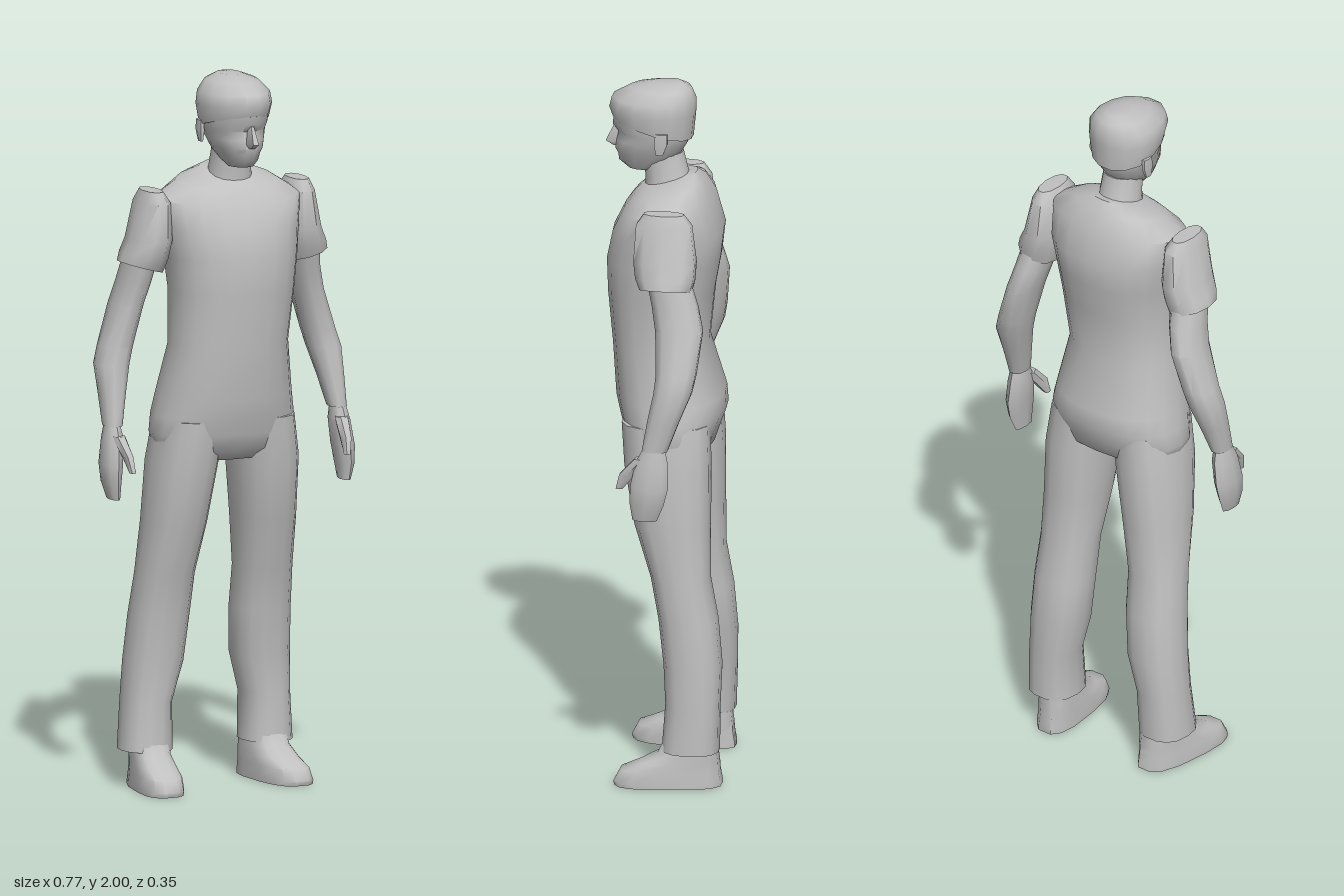
import * as THREE from 'three';
import { toCreasedNormals } from 'three/addons/utils/BufferGeometryUtils.js';

const grey = new THREE.MeshStandardMaterial({ color: 0xc0c0c0 });
grey.name = 'plain grey';

// Stacks rounded cross-sections. Each ring: [y, xMin, xMax, zMin, zMax, tiltX, tiltZ]
// n is the number of sides, power > 2 gives boxier sections, widest is the z share of the widest point,
// warp moves each finished point by a rule.
function loft(name, rings, { n = 14, power = 2.2, widest = 0.5, mirror = false, warp = null, crease = 0.9 } = {}) {
  const rows = rings.map(([y, x0, x1, z0, z1, tx = 0, tz = 0]) =>
    mirror ? [y, -x1, -x0, z0, z1, -tx, tz] : [y, x0, x1, z0, z1, tx, tz]).sort((a, b) => a[0] - b[0]);
  const pos = [], index = [];
  const push = (x, y, z) => {
    const p = new THREE.Vector3(x, y, z);
    if (warp) warp(p);
    pos.push(p.x, p.y, p.z);
  };
  const round = v => Math.sign(v) * Math.pow(Math.abs(v), 2 / power);
  for (const [y, x0, x1, z0, z1, tx, tz] of rows) {
    const cx = (x0 + x1) / 2, cz = z0 + (z1 - z0) * widest;
    for (let j = 0; j < n; j++) {
      const a = j / n * Math.PI * 2, s = round(Math.sin(a));
      const dx = round(Math.cos(a)) * (x1 - x0) / 2;
      const dz = s * (s > 0 ? z1 - cz : cz - z0);
      push(cx + dx, y + tx * dx + tz * dz, cz + dz);
    }
  }
  for (let i = 0; i < rows.length - 1; i++) {
    for (let j = 0; j < n; j++) {
      const a = i * n + j, b = i * n + (j + 1) % n;
      index.push(a, a + n, b, b, a + n, b + n);
    }
  }
  // End caps
  for (const end of [0, rows.length - 1]) {
    const [y, x0, x1, z0, z1] = rows[end];
    const c = pos.length / 3;
    push((x0 + x1) / 2, y, z0 + (z1 - z0) * widest);
    for (let j = 0; j < n; j++) {
      const a = end * n + j, b = end * n + (j + 1) % n;
      if (end === 0) index.push(c, a, b); else index.push(c, b, a);
    }
  }
  const geo = new THREE.BufferGeometry();
  geo.setAttribute('position', new THREE.Float32BufferAttribute(pos, 3));
  geo.setIndex(index);
  const mesh = new THREE.Mesh(toCreasedNormals(geo, crease), grey);
  mesh.name = name;
  return mesh;
}

function makeHead() {
  const head = new THREE.Group();
  head.name = 'head';
  head.add(
    loft('neck', [
      [1.69, -0.055, 0.08, -0.08, 0.06], [1.73, -0.045, 0.07, -0.062, 0.06], [1.8, -0.04, 0.065, -0.045, 0.07],
    ]),
    loft('face', [
      [1.75, -0.02, 0.05, 0.03, 0.11], [1.77, -0.037, 0.063, -0.01, 0.135], [1.79, -0.047, 0.073, -0.035, 0.138],
      [1.805, -0.055, 0.081, -0.045, 0.146], [1.83, -0.065, 0.09, -0.06, 0.142],
      [1.855, -0.072, 0.097, -0.068, 0.136], [1.875, -0.075, 0.1, -0.07, 0.152], [1.93, -0.075, 0.1, -0.07, 0.15],
    ], { power: 2.1, widest: 0.4 }),
    loft('hair', [
      [1.865, -0.079, 0.105, -0.073, 0.153, 0, 0.25], [1.92, -0.09, 0.115, -0.08, 0.163, 0, 0.05],
      [1.955, -0.084, 0.11, -0.08, 0.156], [1.985, -0.058, 0.085, -0.068, 0.105], [2.0, -0.02, 0.045, -0.045, 0.04],
    ], { power: 2, widest: 0.4 }),
    loft('nose', [
      [1.87, 0.006, 0.022, 0.12, 0.15], [1.822, -0.003, 0.031, 0.11, 0.176], [1.808, 0.002, 0.026, 0.11, 0.152],
    ], { n: 6, power: 2 }),
  );
  // Ears
  for (const x of [-0.079, 0.105]) {
    head.add(loft('ear', [
      [1.815, x - 0.006, x + 0.006, -0.005, 0.018], [1.845, x - 0.01, x + 0.01, -0.018, 0.024],
      [1.875, x - 0.008, x + 0.008, -0.018, 0.02],
    ], { n: 6, power: 2 }));
  }
  return head;
}

function makeTorso() {
  return loft('torso', [
    [1.725, -0.055, 0.08, -0.085, 0.068, 0, -0.28], [1.702, -0.13, 0.15, -0.105, 0.09, 0, -0.22],
    [1.66, -0.195, 0.218, -0.13, 0.115, 0, -0.1], [1.58, -0.19, 0.21, -0.158, 0.148],
    [1.5, -0.176, 0.198, -0.15, 0.165], [1.4, -0.166, 0.186, -0.132, 0.162], [1.25, -0.17, 0.168, -0.115, 0.15],
    [1.1, -0.196, 0.19, -0.16, 0.14], [1.05, -0.206, 0.2, -0.163, 0.128], [1.0, -0.215, 0.207, -0.145, 0.115],
    [0.955, -0.2, 0.195, -0.13, 0.1], [0.925, -0.12, 0.12, -0.09, 0.07],
  ], { n: 20, power: 2.3 });
}

function makeLeg(mirror) {
  const leg = new THREE.Group();
  leg.name = mirror ? 'rightLeg' : 'leftLeg';
  // The right leg stands a little wider and further forward
  const lean = p => {
    if (!mirror) return;
    const t = THREE.MathUtils.clamp((1 - p.y) / 0.9, 0, 1);
    p.x -= 0.05 * t;
    p.z += 0.018 * t;
  };
  const turnOut = p => {
    p.x += (mirror ? -0.12 : 0.12) * (p.z + 0.03);
    lean(p);
  };
  leg.add(
    loft('trouserLeg', [
      [1.04, 0.02, 0.195, -0.135, 0.11], [0.92, 0.028, 0.213, -0.141, 0.1], [0.75, 0.045, 0.215, -0.141, 0.07],
      [0.6, 0.06, 0.22, -0.142, 0.022], [0.48, 0.06, 0.225, -0.164, 0], [0.35, 0.066, 0.229, -0.176, -0.015],
      [0.24, 0.094, 0.231, -0.174, -0.022], [0.105, 0.09, 0.235, -0.172, -0.012],
    ], { mirror, warp: lean, power: 2.4 }),
    loft('foot', [
      [0.16, 0.112, 0.21, -0.16, -0.03], [0.095, 0.108, 0.212, -0.166, 0], [0.068, 0.104, 0.215, -0.17, 0.05],
      [0.045, 0.102, 0.218, -0.172, 0.105], [0.012, 0.1, 0.222, -0.178, 0.122], [0, 0.1, 0.222, -0.178, 0.118],
    ], { mirror, warp: turnOut, power: 2.8, widest: 0.6 }),
  );
  return leg;
}

function makeArm(mirror) {
  const arm = new THREE.Group();
  arm.name = mirror ? 'rightArm' : 'leftArm';
  // Straight-edged sleeve over a bent forearm
  arm.add(
    loft('sleeve', [
      [1.687, 0.205, 0.255, -0.085, 0.03], [1.655, 0.185, 0.27, -0.108, 0.052], [1.55, 0.178, 0.292, -0.122, 0.058],
      [1.505, 0.187, 0.31, -0.12, 0.05, 0.15], [1.472, 0.2, 0.318, -0.112, 0.036, 0.28],
    ], { mirror, n: 10 }),
    loft('forearm', [
      [1.52, 0.205, 0.295, -0.1, 0.02], [1.43, 0.222, 0.309, -0.132, 0], [1.365, 0.24, 0.325, -0.148, -0.012],
      [1.25, 0.27, 0.363, -0.135, -0.02], [1.2, 0.283, 0.379, -0.125, -0.016], [1.12, 0.305, 0.377, -0.092, 0],
      [1.035, 0.325, 0.375, -0.06, 0.014],
    ], { mirror, n: 10 }),
    loft('hand', [
      [1.05, 0.333, 0.37, -0.05, 0.005], [1.0, 0.327, 0.38, -0.06, 0.03], [0.93, 0.335, 0.388, -0.062, 0.045],
      [0.88, 0.342, 0.385, -0.05, 0.045], [0.833, 0.347, 0.372, -0.03, 0.038],
    ], { mirror, n: 8 }),
    loft('thumb', [
      [1.01, 0.328, 0.368, -0.01, 0.035], [0.96, 0.325, 0.356, 0.03, 0.08], [0.915, 0.325, 0.345, 0.068, 0.09],
    ], { mirror, n: 6 }),
  );
  if (mirror) arm.position.set(0.005, 0, 0.022);
  return arm;
}

export function createModel() {
  const figure = new THREE.Group();
  figure.name = 'standingMan';
  figure.add(makeHead(), makeTorso());
  for (const mirror of [false, true]) figure.add(makeLeg(mirror), makeArm(mirror));
  return figure;
}
